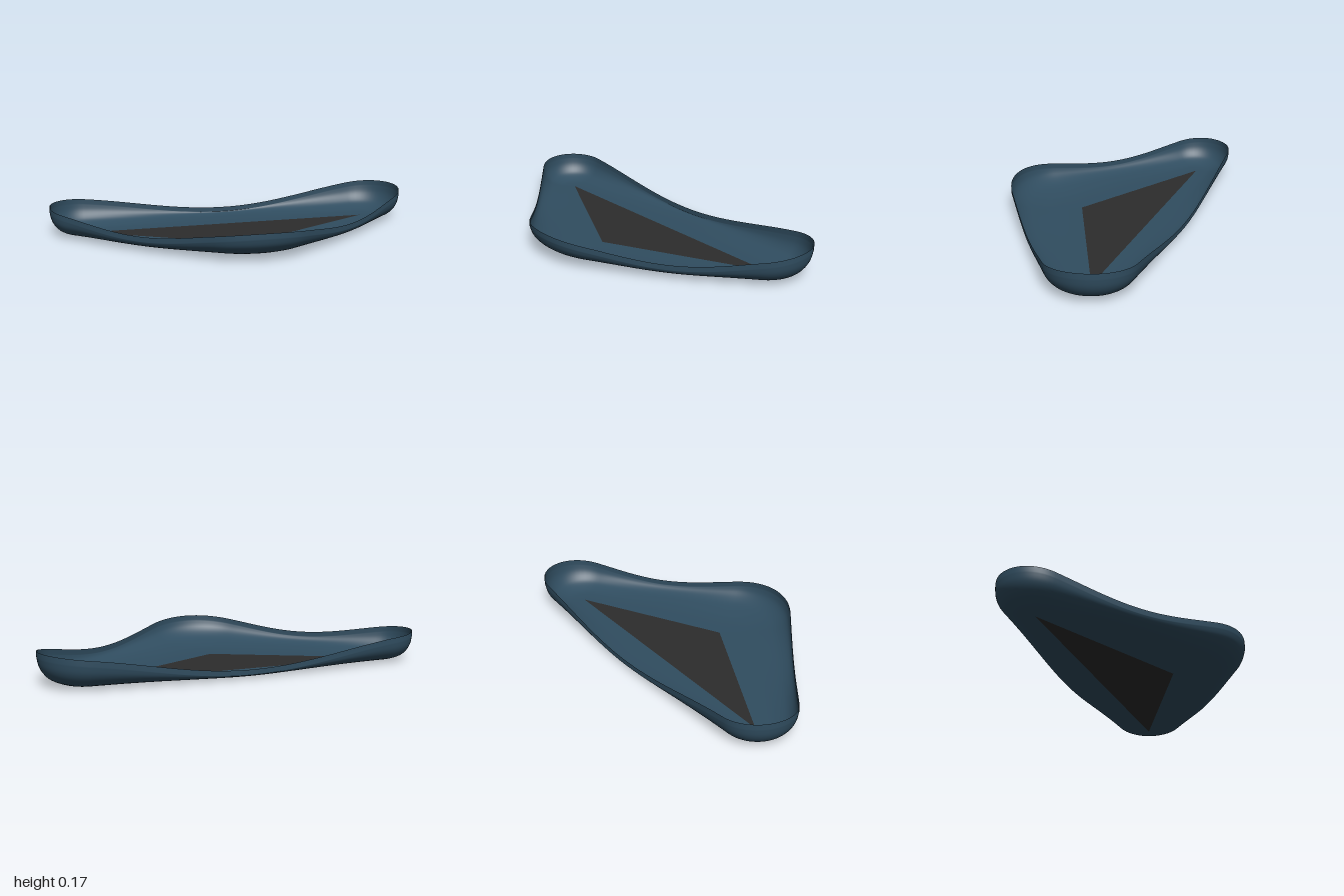
import * as THREE from 'three';

// Floor triangle corners: position, rounding radius of the wall, rim height
const CORNERS = [
  { p: new THREE.Vector2(-0.81, -0.32), r: 0.19, h: 0.155 },
  { p: new THREE.Vector2(0.78, -0.23), r: 0.22, h: 0.17 },
  { p: new THREE.Vector2(-0.03, 0.13), r: 0.38, h: 0.157 },
];
const DIPS = [0.045, 0.083, 0.083]; // rim height midway along back, right and left edges
const LIP = 0.026; // upright band below the rim
const ARC = 20, EDGE = 40;

// Wall section: outward fraction, height fraction
const SECTION = new THREE.SplineCurve([
  [0, 0], [0.22, 0.01], [0.47, 0.06], [0.74, 0.23], [0.88, 0.44], [0.965, 0.7], [1, 1],
].map(([t, y]) => new THREE.Vector2(t, y))).getPoints(24);

// Outward normal of the line touching the rounding circles of two corners
function edgeNormal(a, b) {
  const d = b.p.clone().sub(a.p);
  const s = (a.r - b.r) / d.length();
  d.normalize();
  return new THREE.Vector2(d.y, -d.x).multiplyScalar(Math.sqrt(1 - s * s)).addScaledVector(d, s);
}

// Walk round the dish, pairing each floor edge point with its rim point
function perimeter() {
  const normals = CORNERS.map((c, i) => edgeNormal(c, CORNERS[(i + 1) % 3]));
  const samples = [];
  const peaks = [];
  const add = (inner, n, r) => samples.push({ inner, outer: inner.clone().addScaledVector(n, r) });
  CORNERS.forEach((c, i) => {
    const next = CORNERS[(i + 1) % 3];
    const a0 = normals[(i + 2) % 3].angle();
    let sweep = normals[i].angle() - a0;
    if (sweep < 0) sweep += Math.PI * 2;
    peaks.push(samples.length + ARC / 2);
    for (let k = 0; k <= ARC; k++) {
      const a = a0 + sweep * k / ARC;
      add(c.p.clone(), new THREE.Vector2(Math.cos(a), Math.sin(a)), c.r);
    }
    for (let k = 1; k < EDGE; k++) {
      const u = k / EDGE;
      add(c.p.clone().lerp(next.p, u), normals[i], c.r + (next.r - c.r) * u);
    }
  });

  // Rim wave: crest at each corner, trough midway by distance along the rim
  const count = samples.length;
  peaks.forEach((start, i) => {
    const end = i < 2 ? peaks[i + 1] : peaks[0] + count;
    const dist = [0];
    for (let k = start + 1; k <= end; k++) {
      dist.push(dist[dist.length - 1] + samples[k % count].outer.distanceTo(samples[(k - 1) % count].outer));
    }
    const total = dist[dist.length - 1];
    dist.forEach((d, k) => {
      const u = d / total;
      const crest = CORNERS[u < 0.5 ? i : (i + 1) % 3].h;
      samples[(start + k) % count].h = DIPS[i] + (crest - DIPS[i]) * (1 + Math.cos(u * Math.PI * 2)) / 2;
    });
  });
  return samples;
}

// Curved wall lofted from floor edge to rim
function wallGeometry() {
  const samples = perimeter();
  const n = samples.length;
  const positions = [];
  const index = [];
  const rings = [...SECTION.map((s) => [s.x, s.y, 0]), [1, 1, LIP]];
  rings.forEach(([t, y, lift]) => samples.forEach((s) => {
    const q = s.inner.clone().lerp(s.outer, t);
    positions.push(q.x, y * (s.h - LIP) + lift, q.y);
  }));
  for (let j = 0; j < rings.length - 1; j++) {
    for (let i = 0; i < n; i++) {
      const k = (i + 1) % n;
      const a = j * n + i, b = a + n, c = j * n + k, d = c + n;
      index.push(a, d, b, a, c, d);
    }
  }
  const g = new THREE.BufferGeometry();
  g.setAttribute('position', new THREE.Float32BufferAttribute(positions, 3));
  g.setIndex(index);
  g.computeVertexNormals();
  return g;
}

export function createModel() {
  const group = new THREE.Group();
  group.name = 'triangularDish';
  const blue = new THREE.MeshStandardMaterial({ color: 0x304d60, side: THREE.DoubleSide });
  blue.name = 'slate blue';
  const grey = new THREE.MeshStandardMaterial({ color: 0x2d2d2d, side: THREE.DoubleSide });
  grey.name = 'charcoal';

  const wall = new THREE.Mesh(wallGeometry(), blue);
  wall.name = 'dishWall';

  // Flat triangular floor
  const shape = new THREE.Shape(CORNERS.map((c) => new THREE.Vector2(c.p.x, -c.p.y)));
  const floor = new THREE.Mesh(new THREE.ShapeGeometry(shape).rotateX(-Math.PI / 2), grey);
  floor.name = 'dishFloor';

  group.add(wall, floor);
  return group;
}
